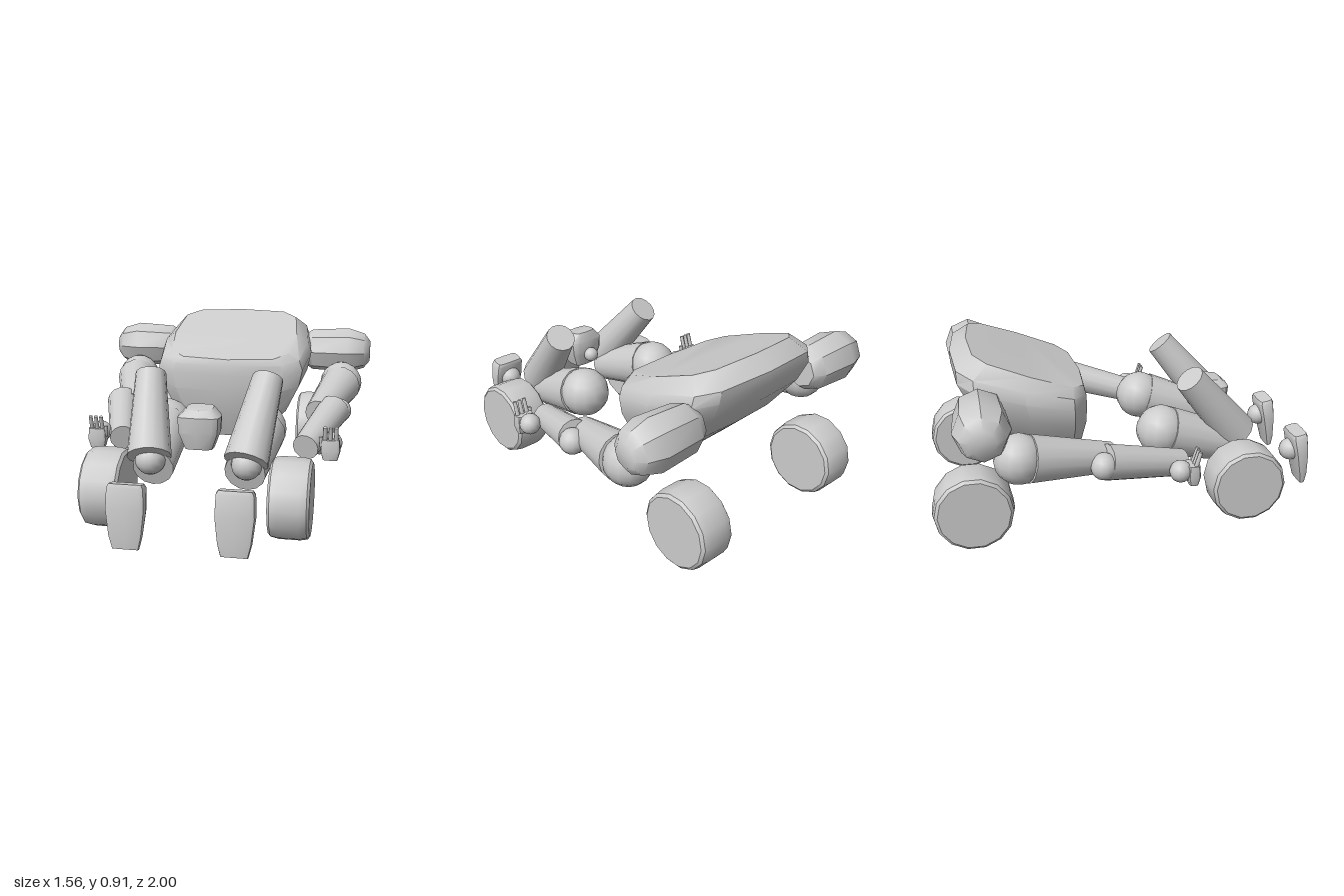
import * as THREE from 'three';
import { toCreasedNormals } from 'three/addons/utils/BufferGeometryUtils.js';

const mat = new THREE.MeshStandardMaterial({ color: 0xcccccc });
const V = (x, y, z) => new THREE.Vector3(x, y, z);

export function createModel() {
  const model = new THREE.Group();
  model.name = 'robotFigure';

  function add(name, geo, pos, parent = model) {
    const m = new THREE.Mesh(geo, mat);
    m.name = name;
    if (pos) m.position.copy(pos);
    parent.add(m);
    return m;
  }

  // Loft of rounded-square rings, bottom to top: [halfWidth, frontZ, frontY, backZ, backY]
  function loft(rows, power, cx = 0, n = 12) {
    const pos = [], idx = [];
    const sp = t => Math.sign(t) * Math.pow(Math.abs(t) < 1e-9 ? 0 : Math.abs(t), power);
    for (const [w, fz, fy, bz, by] of rows) {
      for (let i = 0; i < n; i++) {
        const a = (i / n) * Math.PI * 2, u = sp(Math.cos(a)), v = sp(Math.sin(a));
        pos.push(cx + w * u, (fy + by) / 2 + v * (by - fy) / 2, (fz + bz) / 2 + v * (bz - fz) / 2);
      }
    }
    for (let r = 0; r < rows.length - 1; r++) {
      for (let i = 0; i < n; i++) {
        const a = r * n + i, b = r * n + (i + 1) % n;
        idx.push(a, b, b + n, a, b + n, a + n);
      }
    }
    const top = (rows.length - 1) * n;
    for (let i = 1; i < n - 1; i++) idx.push(0, i + 1, i, top, top + i, top + i + 1);
    const g = new THREE.BufferGeometry();
    g.setAttribute('position', new THREE.Float32BufferAttribute(pos, 3));
    g.setIndex(idx);
    return toCreasedNormals(g, 0.6);
  }

  // Tapered cylinder between two points
  function limb(name, a, b, ra, rb, parent, sides = 14) {
    const d = b.clone().sub(a);
    const m = add(name, new THREE.CylinderGeometry(rb, ra, d.length(), sides), a.clone().add(b).multiplyScalar(0.5), parent);
    m.quaternion.setFromUnitVectors(V(0, 1, 0), d.normalize());
    return m;
  }
  const ball = (name, c, r, parent) => add(name, new THREE.SphereGeometry(r, 14, 10), c, parent);

  // Turned solid along the x axis from [radius, offset] points
  function turned(name, profile, sides, crease, pos, dir, parent) {
    const g = new THREE.LatheGeometry(profile.map(([r, y]) => new THREE.Vector2(r, y)), sides);
    const m = add(name, toCreasedNormals(g, crease), pos, parent);
    m.rotation.z = -dir * Math.PI / 2;
    return m;
  }

  // Torso: slanted barrel narrowing to the waist
  add('torso', loft([
    [0.19, -0.28, 0.24, -0.47, 0.31],
    [0.35, -0.225, 0.38, -0.68, 0.51],
    [0.425, -0.195, 0.52, -0.81, 0.68],
    [0.445, -0.19, 0.61, -0.86, 0.79],
    [0.425, -0.19, 0.665, -0.86, 0.85],
    [0.36, -0.2, 0.70, -0.775, 0.912],
  ], 0.5));

  // Head with neck ball
  add('head', loft([
    [0.07, 0.585, 0.41, 0.47, 0.41],
    [0.1, 0.605, 0.49, 0.45, 0.49],
    [0.105, 0.61, 0.57, 0.45, 0.56],
    [0.065, 0.575, 0.6, 0.47, 0.61],
  ], 0.5));
  ball('neckBall', V(0, 0.48, 0.435), 0.04);

  const wheelProfile = [[0, -0.097], [0.175, -0.097], [0.19, -0.085], [0.197, -0.05],
    [0.197, 0.05], [0.19, 0.085], [0.175, 0.097], [0, 0.097]];
  const shoulderProfile = [[0, -0.2], [0.085, -0.2], [0.122, -0.145], [0.134, 0.07],
    [0.105, 0.165], [0.06, 0.2], [0, 0.2]];

  for (const s of [1, -1]) {
    const side = s > 0 ? 'left' : 'right';
    const P = (x, y, z) => V(s * x, y, z);
    const group = name => {
      const g = new THREE.Group();
      g.name = side + name;
      model.add(g);
      return g;
    };

    // Wheels
    const wheels = group('Wheels');
    for (const [name, z] of [['frontWheel', 0.58], ['rearWheel', -0.803]])
      turned(name, wheelProfile, 14, 0.6, P(0.45, 0.197, z), s, wheels);

    // Arm
    const arm = group('Arm');
    turned('shoulder', shoulderProfile, 8, 0.7, P(0.582, 0.68, -0.745), s, arm);
    ball('shoulderBall', P(0.62, 0.515, -0.585), 0.12, arm);
    limb('upperArm', P(0.62, 0.51, -0.54), P(0.52, 0.43, -0.14), 0.115, 0.075, arm);
    ball('elbowBall', P(0.63, 0.44, -0.19), 0.066, arm);
    limb('forearm', P(0.6, 0.445, -0.175), P(0.482, 0.345, 0.23), 0.088, 0.068, arm);

    // Hand with raised fingers
    const hand = group('Hand');
    ball('wristBall', P(0.612, 0.365, 0.19), 0.055, hand);
    add('palm', loft([
      [0.038, 0.275, 0.295, 0.23, 0.295],
      [0.05, 0.285, 0.34, 0.215, 0.34],
      [0.046, 0.28, 0.4, 0.22, 0.4],
    ], 0.5, s * 0.61), null, hand);
    for (let i = -1; i <= 1; i++)
      limb('finger', P(0.61 + i * 0.028, 0.39, 0.258), P(0.61 + i * 0.028, 0.468, 0.28), 0.012, 0.01, hand, 8);
    limb('thumb', P(0.567, 0.36, 0.255), P(0.56, 0.415, 0.265), 0.012, 0.01, hand, 8);

    // Leg
    const leg = group('Leg');
    ball('hipBall', P(0.25, 0.425, 0.185), 0.13, leg);
    limb('thigh', P(0.25, 0.415, 0.22), P(0.225, 0.305, 0.57), 0.13, 0.1, leg);
    ball('kneeBall', P(0.235, 0.35, 0.58), 0.075, leg);
    limb('shin', P(0.235, 0.37, 0.6), P(0.297, 0.715, 0.315), 0.108, 0.077, leg);

    // Foot with ankle ball
    const foot = group('Foot');
    add('foot', loft([
      [0.062, 0.995, 0.06, 0.968, 0.053],
      [0.078, 1.0, 0.12, 0.95, 0.12],
      [0.092, 0.996, 0.24, 0.92, 0.24],
      [0.088, 0.985, 0.34, 0.9, 0.325],
      [0.078, 0.978, 0.358, 0.905, 0.342],
    ], 0.4, s * 0.245), null, foot);
    ball('ankleBall', P(0.245, 0.24, 0.917), 0.06, foot);
  }
  return model;
}
